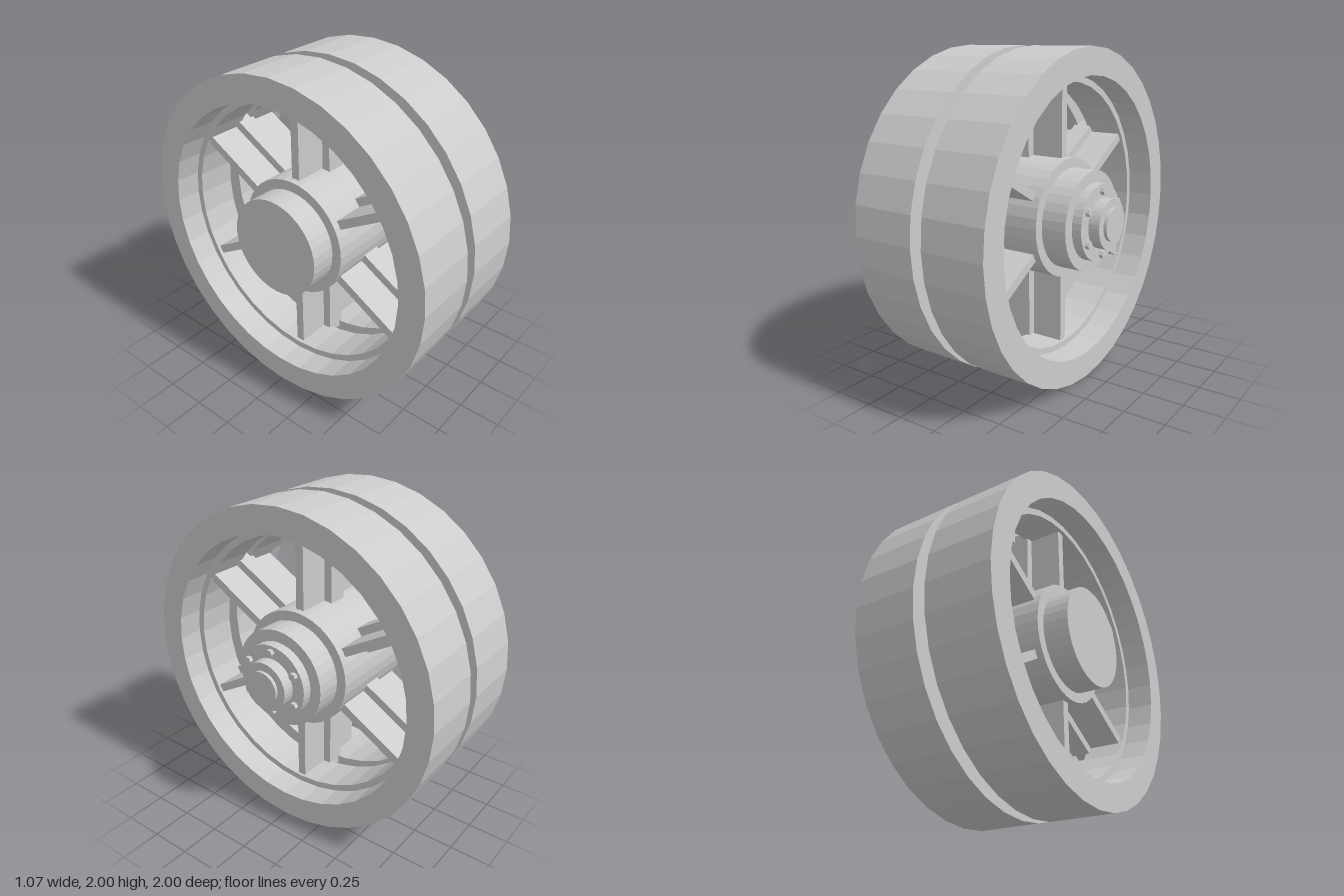
import * as THREE from 'three';

const MID = -0.078; // middle plane of the wheel along its axle (x)
const SIDES = 36;
const material = new THREE.MeshStandardMaterial({ color: 0xcccccc, flatShading: true });

function addMesh(parent, name, geometry) {
  const mesh = new THREE.Mesh(geometry, material);
  mesh.name = name;
  parent.add(mesh);
  return mesh;
}

// Turned part about the x axle from [radius, x] points
function turned(parent, name, profile, sides = SIDES) {
  const points = profile.map(([r, x]) => new THREE.Vector2(r, x));
  const geometry = new THREE.LatheGeometry(points, sides);
  geometry.rotateZ(-Math.PI / 2);
  return addMesh(parent, name, geometry);
}

export function createModel() {
  const model = new THREE.Group();
  model.name = 'spokedWheel';

  // Everything turns about the axle, one unit above the ground
  const wheel = new THREE.Group();
  wheel.name = 'wheel';
  wheel.position.y = 1;
  model.add(wheel);

  // Two rims, each with a raised band inside next to the central gap
  turned(wheel, 'rightRim', [
    [1, -0.04], [1, 0.36], [0.84, 0.36], [0.84, 0.2], [0.8, 0.2], [0.8, -0.04], [1, -0.04],
  ]);
  turned(wheel, 'leftRim', [
    [1, -0.52], [1, -0.115], [0.8, -0.115], [0.8, -0.36], [0.84, -0.36], [0.84, -0.52], [1, -0.52],
  ]);

  // Hub barrel with narrower ends
  turned(wheel, 'hub', [
    [0, -0.535], [0.3, -0.535], [0.3, -0.38], [0.36, -0.38],
    [0.36, 0.225], [0.3, 0.225], [0.3, 0.38], [0, 0.38],
  ]);

  // Stepped bearing cap
  turned(wheel, 'hubCap', [
    [0.23, 0.37], [0.23, 0.44], [0.15, 0.44], [0.15, 0.51], [0.1, 0.51], [0.1, 0.53], [0, 0.53],
  ]);

  for (let i = 0; i < 6; i++) {
    const sector = new THREE.Group();
    sector.name = `sector${i + 1}`;
    sector.rotation.x = (i * Math.PI) / 3;
    wheel.add(sector);

    // Cross-section spoke: a wide central bar and a thin deep web
    const bar = addMesh(sector, 'spokeBar', new THREE.BoxGeometry(0.12, 0.54, 0.155));
    bar.position.set(MID, 0.57, 0);
    const web = addMesh(sector, 'spokeWeb', new THREE.BoxGeometry(0.52, 0.5, 0.053));
    web.position.set(MID, 0.56, 0);

    // Hexagonal cap bolt
    const bolt = turned(sector, 'capBolt', [[0.024, 0.43], [0.024, 0.465], [0, 0.465]], 6);
    bolt.position.y = 0.19;
  }

  return model;
}
